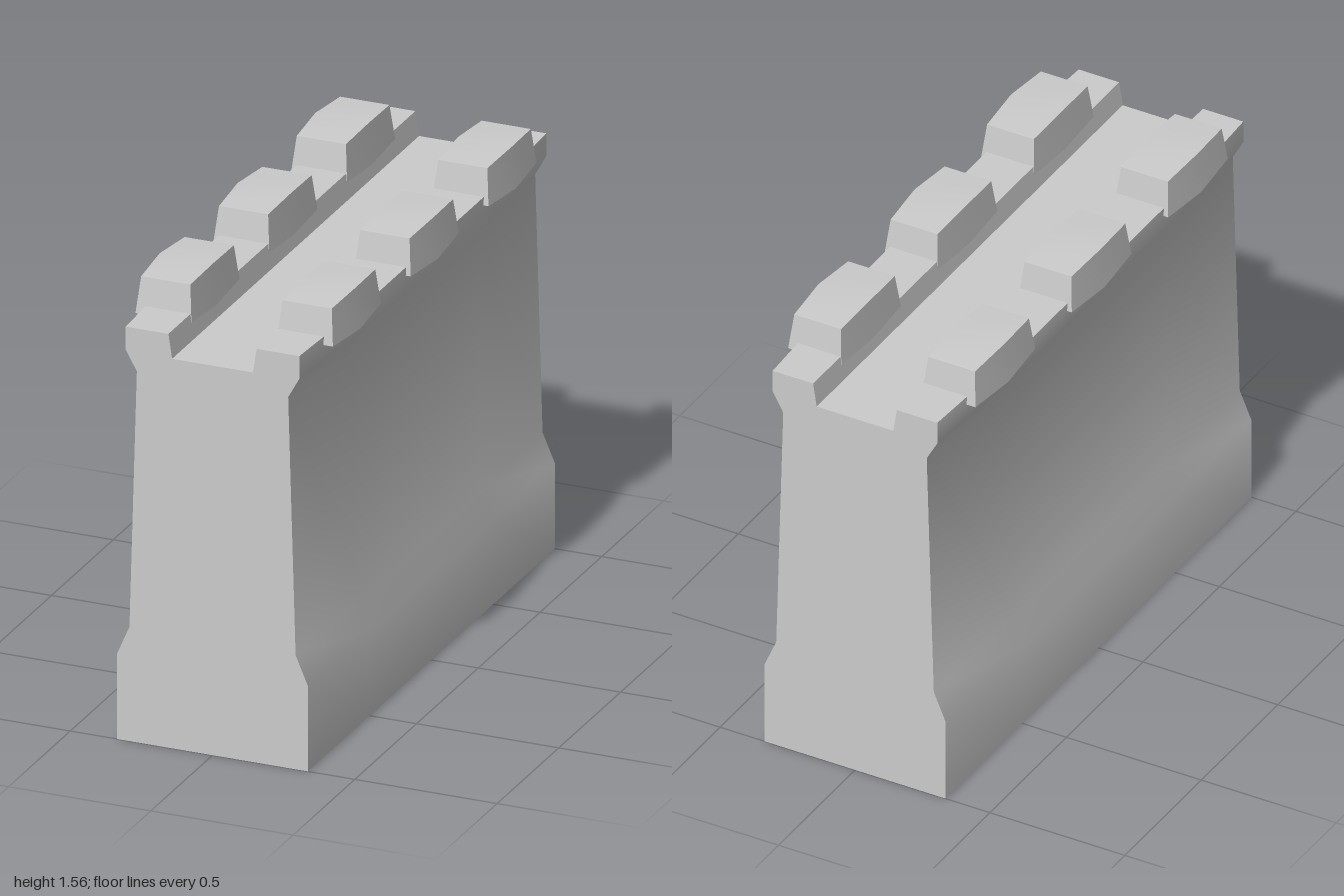
import * as THREE from 'three';
import { toCreasedNormals } from 'three/addons/utils/BufferGeometryUtils.js';

// Skin closed, counter-clockwise loops of [x, y, z], ordered from back to front, and cap both ends.
function loft(loops) {
  const n = loops[0].length;
  const index = [];
  for (let i = 0; i < loops.length - 1; i++) {
    for (let j = 0; j < n; j++) {
      const k = (j + 1) % n;
      const a = i * n + j, b = i * n + k, c = b + n, d = a + n;
      index.push(a, b, c, a, c, d);
    }
  }
  const outline = loops[0].map(([x, y]) => new THREE.Vector2(x, y));
  const last = (loops.length - 1) * n;
  for (const [a, b, c] of THREE.ShapeUtils.triangulateShape(outline, [])) {
    index.push(a, c, b, last + a, last + b, last + c);
  }
  const geometry = new THREE.BufferGeometry();
  geometry.setAttribute('position', new THREE.Float32BufferAttribute(loops.flat(2), 3));
  geometry.setIndex(index);
  return toCreasedNormals(geometry, 0.6);
}

// Wall cross-section; bulge runs from 0 at the ends to 1 along the middle.
function wallLoop(z, bulge) {
  const half = [
    [0.335, 0], [0.335, 0.3],
    [0.292 + 0.01 * bulge, 0.4],
    [0.266 + 0.022 * bulge, 1.3],
    [0.305 + 0.026 * bulge, 1.37],
    [0.305 + 0.024 * bulge, 1.45],
    [0.155, 1.45], [0.142, 1.365],
  ];
  const mirrored = half.map(([x, y]) => [-x, y]).reverse();
  return [...half, ...mirrored].map(([x, y]) => [x, y, z]);
}

// Merlon block with a fuller middle and end faces leaning inward.
function merlonGeometry(side) {
  const end = [[0.347, 1.422], [0.335, 1.546], [0.162, 1.546], [0.15, 1.422]];
  const middle = [[0.358, 1.41], [0.346, 1.556], [0.155, 1.556], [0.146, 1.41]];
  const place = (section, dir) => {
    const loop = section.map(([x, y], i) => {
      const isTop = i === 1 || i === 2;
      return [side * x, y, dir * (isTop ? 0.176 : 0.195)];
    });
    return side > 0 ? loop : loop.reverse();
  };
  return loft([place(end, -1), place(middle, 0), place(end, 1)]);
}

export function createModel() {
  const group = new THREE.Group();
  const stone = new THREE.MeshStandardMaterial({ color: 0xcccccc });

  // Wall body with flared base, cornice and sunken walkway
  const wall = new THREE.Mesh(
    loft([wallLoop(-1, 0), wallLoop(-0.5, 1), wallLoop(0.5, 1), wallLoop(1, 0)]),
    stone,
  );
  wall.name = 'wall';
  group.add(wall);

  // Three merlons along each parapet
  for (const side of [-1, 1]) {
    const geometry = merlonGeometry(side);
    for (const z of [-0.63, 0, 0.63]) {
      const merlon = new THREE.Mesh(geometry, stone);
      merlon.name = side > 0 ? 'leftMerlon' : 'rightMerlon';
      merlon.position.z = z;
      group.add(merlon);
    }
  }
  return group;
}
